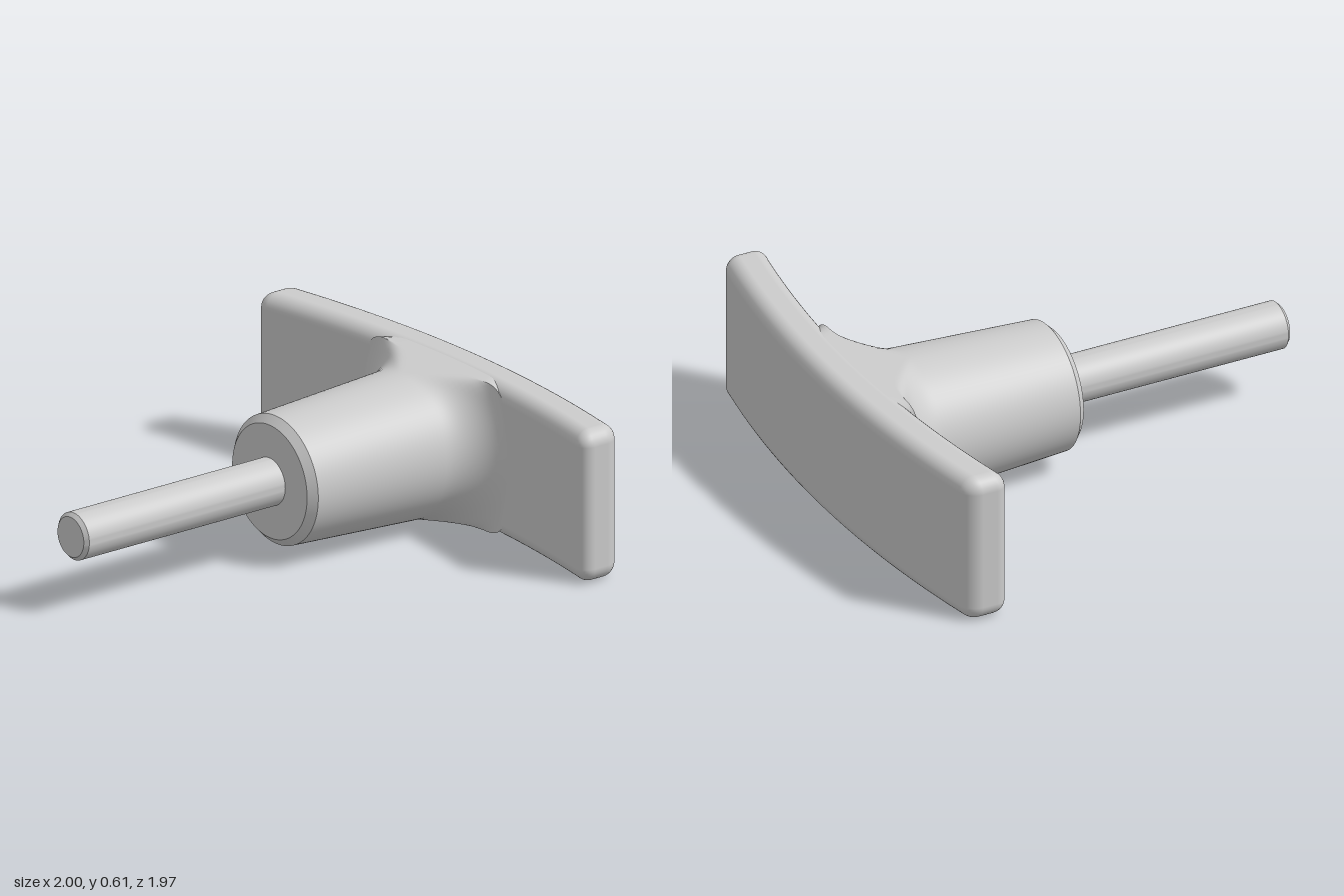
import * as THREE from 'three';
import { toCreasedNormals } from 'three/addons/utils/BufferGeometryUtils.js';

const AXIS_Y = 0.307;
const BEND = 0.1;
const grey = new THREE.MeshStandardMaterial({ color: 0xcccccc });

function addPart(group, name, geometry) {
  const mesh = new THREE.Mesh(geometry, grey);
  mesh.name = name;
  mesh.position.y = AXIS_Y;
  group.add(mesh);
}

// Rounded bar, bowed so that its ends come forward
function gripGeometry() {
  const radius = 0.06;
  const core = [1 - radius, AXIS_Y - radius, 0.09 - radius];
  const geo = new THREE.BoxGeometry(2, 2, 2, 48, 16, 16);
  const pos = geo.attributes.position;
  const nor = geo.attributes.normal;
  const offset = new THREE.Vector3();
  for (let i = 0; i < pos.count; i++) {
    const base = [];
    for (let k = 0; k < 3; k++) {
      // inner half of each axis spans the flat part, outer half the rounding
      const u = pos.getComponent(i, k);
      const flat = THREE.MathUtils.clamp(u * 2, -1, 1);
      const t = Math.max(0, Math.abs(u) * 2 - 1);
      base.push(flat * core[k]);
      offset.setComponent(k, Math.sign(u) * Math.tan(t * Math.PI / 4));
    }
    offset.normalize();
    const x = base[0] + offset.x * radius;
    const y = base[1] + offset.y * radius;
    const z = base[2] + offset.z * radius - 0.895 + BEND * x * x;
    pos.setXYZ(i, x, y, z);
    offset.x -= 2 * BEND * x * offset.z;
    offset.normalize();
    nor.setXYZ(i, offset.x, offset.y, offset.z);
  }
  return geo;
}

// Tapered hub, flared sideways into the grip and kept within its height
function hubGeometry() {
  const cone = z => 0.258 - 0.055 * z;
  const fillet = 0.18, filletZ = -0.61;
  const profile = [[0, -0.87], [0.44, -0.87], [0.47, -0.8]];
  for (let i = 0; i <= 16; i++) {
    const a = (1 - i / 16) * Math.PI / 2;
    const z = filletZ - fillet * Math.sin(a);
    profile.push([cone(z) + fillet * (1 - Math.cos(a)), z]);
  }
  profile.push([cone(-0.3), -0.3], [cone(-0.012), -0.012], [0.228, 0.018], [0, 0.018]);

  const geo = new THREE.LatheGeometry(profile.map(p => new THREE.Vector2(...p)), 96);
  geo.rotateX(Math.PI / 2);
  const pos = geo.attributes.position;
  for (let i = 0; i < pos.count; i++) {
    const x = pos.getX(i), y = pos.getY(i), z = pos.getZ(i);
    const limit = cone(z);
    const excess = Math.hypot(x, y) - limit;
    if (excess < 1e-5) continue;
    // soft minimum gives the clipped flare a rounded edge
    const k = Math.min(0.06, excess * 0.5);
    const h = Math.max(k - Math.abs(Math.abs(y) - limit), 0) / k;
    pos.setY(i, Math.sign(y) * (Math.min(Math.abs(y), limit) - h * h * k / 4));
  }
  return toCreasedNormals(geo, 0.6);
}

// Plain rod with a small chamfer at its tip
function rodGeometry() {
  const profile = [[0, -0.1], [0.095, -0.1], [0.095, 0.97], [0.08, 0.985], [0, 0.985]];
  const geo = new THREE.LatheGeometry(profile.map(p => new THREE.Vector2(...p)), 64);
  geo.rotateX(Math.PI / 2);
  return toCreasedNormals(geo, 0.6);
}

export function createModel() {
  const group = new THREE.Group();
  group.name = 'pullHandle';
  addPart(group, 'grip', gripGeometry());
  addPart(group, 'hub', hubGeometry());
  addPart(group, 'rod', rodGeometry());
  return group;
}
